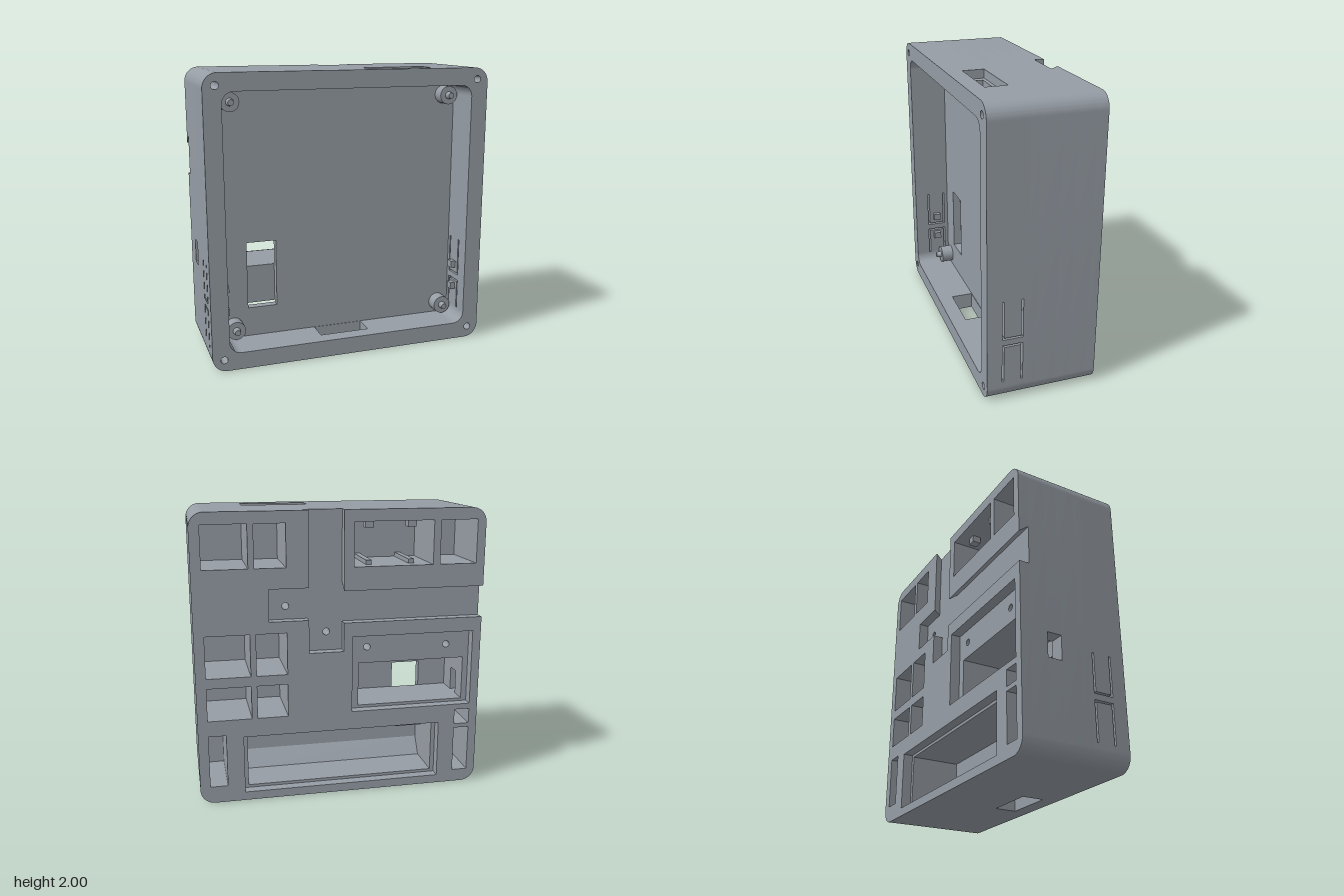
import * as THREE from 'three';
import { toCreasedNormals } from 'three/addons/utils/BufferGeometryUtils.js';

export function createModel() {
  const model = new THREE.Group();
  const grey = new THREE.MeshStandardMaterial({ color: 0x959ca4 });
  grey.name = 'slate grey plastic';

  const add = (name, geo) => {
    const mesh = new THREE.Mesh(toCreasedNormals(geo, 0.6), grey);
    mesh.name = name;
    model.add(mesh);
    return mesh;
  };
  const poly = (pts) => new THREE.Shape(pts.map(([x, y]) => new THREE.Vector2(x, y)));
  const rect = ([x0, x1, y0, y1]) => poly([[x0, y0], [x1, y0], [x1, y1], [x0, y1]]);
  const circle = ([x, y, r]) => new THREE.Path().absarc(x, y, r, 0, Math.PI * 2);
  const extrude = (shape, holes, depth) => {
    shape.holes.push(...holes);
    return new THREE.ExtrudeGeometry(shape, { depth, bevelEnabled: false, curveSegments: 10 });
  };
  // Extrusions through z, downwards from y, and inwards (-x) from x
  const layer = (shape, holes, z0, z1) => extrude(shape, holes, z1 - z0).translate(0, 0, z0);
  const plateY = (shape, holes, y0, y1) =>
    extrude(shape, holes, y1 - y0).rotateX(Math.PI / 2).translate(0, y1, 0);
  const plateX = (shape, holes, x0, x1) =>
    extrude(shape, holes, x1 - x0).rotateY(-Math.PI / 2).translate(x1, 0, 0);
  const box = (name, x0, x1, y0, y1, z0, z1) =>
    add(name, new THREE.BoxGeometry(x1 - x0, y1 - y0, z1 - z0)
      .translate((x0 + x1) / 2, (y0 + y1) / 2, (z0 + z1) / 2));

  // Rounded outline; extra points may cut in from the top edge or the -x edge
  const R = 0.1, q = Math.PI / 2;
  const outline = (topCut = [], sideCut = []) => {
    const s = new THREE.Shape();
    s.moveTo(-1 + R, 0);
    s.lineTo(1 - R, 0);
    s.absarc(1 - R, R, R, -q, 0);
    s.absarc(1 - R, 2 - R, R, 0, q);
    topCut.forEach(([x, y]) => s.lineTo(x, y));
    if (!topCut.length) s.absarc(-1 + R, 2 - R, R, q, 2 * q);
    sideCut.forEach(([x, y]) => s.lineTo(x, y));
    s.absarc(-1 + R, R, R, 2 * q, 3 * q);
    return s;
  };

  const BACK = -0.38, LIP = -0.31, POCKET = 0.05, FLOOR = 0.11, FRONT = 0.38;

  // Storage pockets on the back: x0, x1, y0, y1
  const pockets = [
    [0.63, 0.93, 1.63, 1.92], [0.38, 0.59, 1.63, 1.92],
    [0.63, 0.93, 0.9, 1.19], [0.38, 0.59, 0.9, 1.19],
    [0.63, 0.93, 0.6, 0.83], [0.38, 0.59, 0.6, 0.83],
    [0.81, 0.93, 0.12, 0.49],
    [-0.94, -0.83, 0.45, 0.56], [-0.94, -0.83, 0.09, 0.42],
  ];
  const upperPockets = [[-0.63, -0.08, 1.62, 1.92], [-0.94, -0.68, 1.62, 1.92]];

  // Back lip, cut by the crossing dovetail channels into two pieces
  const main = outline(
    [[0.23, 2], [0.23, 1.49], [0.5, 1.49], [0.5, 1.27], [0.23, 1.27], [0.23, 1.04],
      [-0.01, 1.04], [-0.01, 1.24], [-1, 1.24]]);
  const island = new THREE.Shape();
  island.moveTo(-0.01, 2);
  island.lineTo(-1 + R, 2);
  island.absarc(-1 + R, 2 - R, R, q, 2 * q);
  island.lineTo(-1, 1.46);
  island.lineTo(-0.01, 1.46);

  // Slant the channel sides so they are undercut towards the bottom of the groove
  const undercut = (geo) => {
    const p = geo.attributes.position;
    for (let i = 0; i < p.count; i++) {
      if (Math.abs(p.getZ(i) - LIP) > 1e-3) continue;
      if (Math.abs(p.getX(i) - 0.23) < 1e-3 && p.getY(i) > 1.48) p.setX(i, 0.29);
      if (Math.abs(p.getY(i) - 1.46) < 1e-3) p.setY(i, 1.515);
    }
    geo.computeVertexNormals();
    return geo;
  };
  const lipHoles = [...pockets, [-0.94, -0.07, 0.6, 1.14], [-0.71, 0.69, 0.06, 0.47]];
  add('backLip', undercut(layer(main, lipHoles.map(rect), BACK, LIP)));
  add('backLipUpper', undercut(layer(island, upperPockets.map(rect), BACK, LIP)));

  // Core, in three slices so that the middle one can open through the side
  const bay = [-0.9, -0.13, 0.62, 0.93];
  const coreHoles = () => [
    ...[...pockets, ...upperPockets, [-0.68, 0.66, 0.08, 0.45]].map(rect),
    ...[[0.38, 1.36, 0.024], [0.1, 1.17, 0.024], [-0.19, 1.045, 0.024], [-0.77, 1.035, 0.024]].map(circle),
  ];
  const window = [[-1, 0.79], [-0.9, 0.79], [-0.9, 0.93], [-0.13, 0.93], [-0.13, 0.62],
    [-0.9, 0.62], [-1, 0.62]];
  add('coreRear', layer(outline(), [...coreHoles(), rect(bay)], LIP, -0.19));
  add('coreWithSideWindow', layer(outline([], window), coreHoles(), -0.19, -0.09));
  add('coreFront', layer(outline(), [...coreHoles(), rect(bay)], -0.09, POCKET));

  // Dividing wall with the cable opening
  add('dividingWall', layer(outline(), [rect([-0.69, -0.48, 0.33, 0.81])], POCKET, FLOOR));

  // Inside of the lower and upper compartments
  add('compartmentRamp', plateX(poly([[-0.03, 0.08], [0.05, 0.08], [0.05, 0.2]]), [], -0.68, 0.66));
  box('cableShelf', -0.69, -0.48, 0.345, 0.45, -0.08, POCKET);
  for (const x of [-0.2, -0.5]) {
    box('upperPocketRail', x - 0.02, x + 0.02, 1.62, 1.65, -0.29, POCKET);
    box('upperPocketTab', x - 0.03, x + 0.03, 1.87, 1.92, -0.3, -0.24);
  }

  // Front frame: four corners with screw holes, and the inner fillets
  const W = 0.12, f = 0.08;
  [[1, 1], [-1, 1], [-1, -1], [1, -1]].forEach(([sx, sy], k) => {
    const c = new THREE.Shape();
    c.moveTo(-0.06, -0.06);
    c.lineTo(0.06, -0.06);
    c.absarc(0.06 - R, 0.06 - R, R, 0, q);
    c.lineTo(-0.06, 0.06);
    add('frameCorner', layer(c, [circle([-0.02, -0.02, 0.025])], FLOOR, FRONT)
      .rotateZ(k * q).translate(sx * 0.94, 1 + sy * 0.94, 0));
    const t = new THREE.Shape();
    t.moveTo(0, 0);
    t.lineTo(-f, 0);
    t.absarc(-f, -f, f, q, 0, true);
    add('innerFillet', layer(t, [], FLOOR, FRONT)
      .rotateZ(k * q).translate(sx * 0.88, 1 + sy * 0.88, 0));

    // Standoff with a pin for the circuit board
    add('standoff', new THREE.CylinderGeometry(0.065, 0.065, 0.09, 28)
      .rotateX(q).translate(sx * 0.795, 1 + sy * 0.797, FLOOR + 0.045));
    add('standoffPin', new THREE.CylinderGeometry(0.02, 0.027, 0.04, 20)
      .rotateX(q).translate(sx * 0.795, 1 + sy * 0.797, FLOOR + 0.11));
  });

  // Side walls with U-shaped slots that free two push tabs
  const upperSlot = () => poly([[0.137, 0.455], [0.278, 0.455], [0.278, 0.73], [0.265, 0.73],
    [0.265, 0.468], [0.15, 0.468], [0.15, 0.73], [0.137, 0.73]]);
  const lowerSlot = () => poly([[0.137, 0.14], [0.15, 0.14], [0.15, 0.4], [0.265, 0.4],
    [0.265, 0.14], [0.278, 0.14], [0.278, 0.413], [0.137, 0.413]]);
  for (const s of [1, -1]) {
    const x0 = s > 0 ? 0.88 : -1;
    add('sideWall', plateX(rect([FLOOR, FRONT, W, 2 - W]), [upperSlot(), lowerSlot()], x0, x0 + W));
    for (const y of [0.53, 0.36])
      box('buttonNub', s * 0.87 - 0.025, s * 0.87 + 0.025, y - 0.025, y + 0.025, 0.18, 0.235);
  }

  // Top wall with stepped connector slot, bottom wall with cable slot
  const wall = () => rect([-0.88, 0.88, FLOOR, FRONT]);
  add('topWallOuter', plateY(wall(), [rect([0.155, 0.62, 0.114, 0.265])], 1.94, 2));
  add('topWallInner', plateY(wall(), [rect([0.21, 0.57, 0.14, 0.23])], 1.88, 1.94));
  add('bottomWall', plateY(wall(), [rect([-0.2, 0.16, 0.114, 0.27])], 0, W));

  return model;
}
